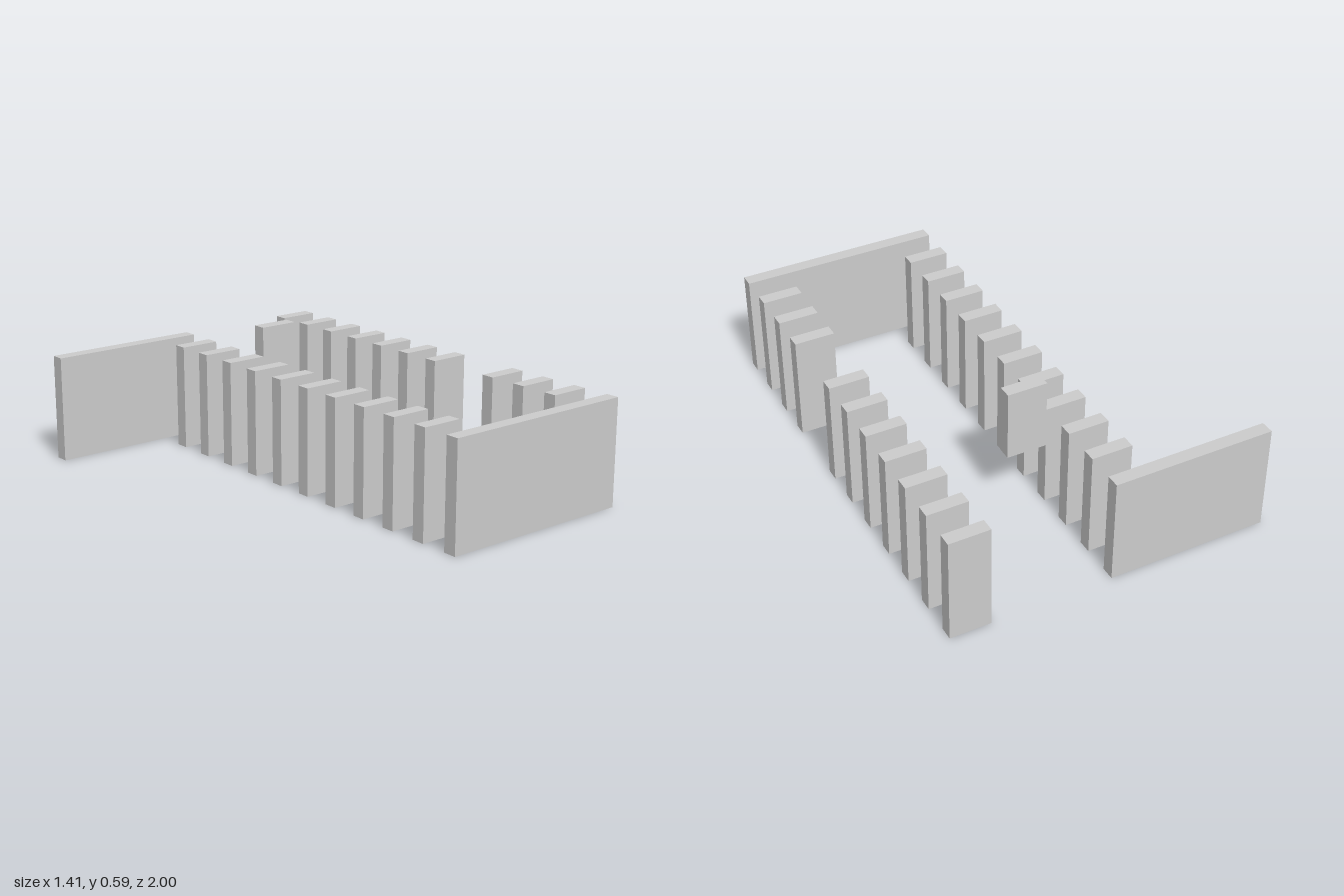
import * as THREE from 'three';

const HEIGHT = 0.465, DEPTH = 0.059, COUNT = 12;
const FIRST_Z = 1 - DEPTH / 2;
const PITCH = (2 * FIRST_Z) / (COUNT - 1);

export function createModel() {
  const model = new THREE.Group();
  model.name = 'slattedEnclosure';
  const material = new THREE.MeshStandardMaterial({ color: 0xcccccc });

  // Upright board spanning x0..x1 and y0..y1 at a row of the regular spacing
  function board(name, row, x0, x1, y0 = 0, y1 = HEIGHT) {
    const mesh = new THREE.Mesh(new THREE.BoxGeometry(x1 - x0, y1 - y0, DEPTH), material);
    mesh.name = name;
    mesh.position.set((x0 + x1) / 2, (y0 + y1) / 2, FIRST_Z - row * PITCH);
    model.add(mesh);
  }

  // End walls
  board('frontWall', 0, -0.178, 0.703);
  board('backWall', COUNT - 1, -0.703, 0);

  // Inner row of slats between the walls
  for (let row = 1; row < COUNT - 1; row++) board('innerSlat', row, -0.178, 0);

  // Outer row of slats, with a doorway gap at row 4
  for (let row = 1; row < COUNT; row++) {
    if (row !== 4) board('outerSlat', row, 0.527, 0.703);
  }

  // Raised panel projecting from an inner slat
  board('raisedPanel', 8, 0, 0.174, 0.287, 0.594);

  return model;
}
